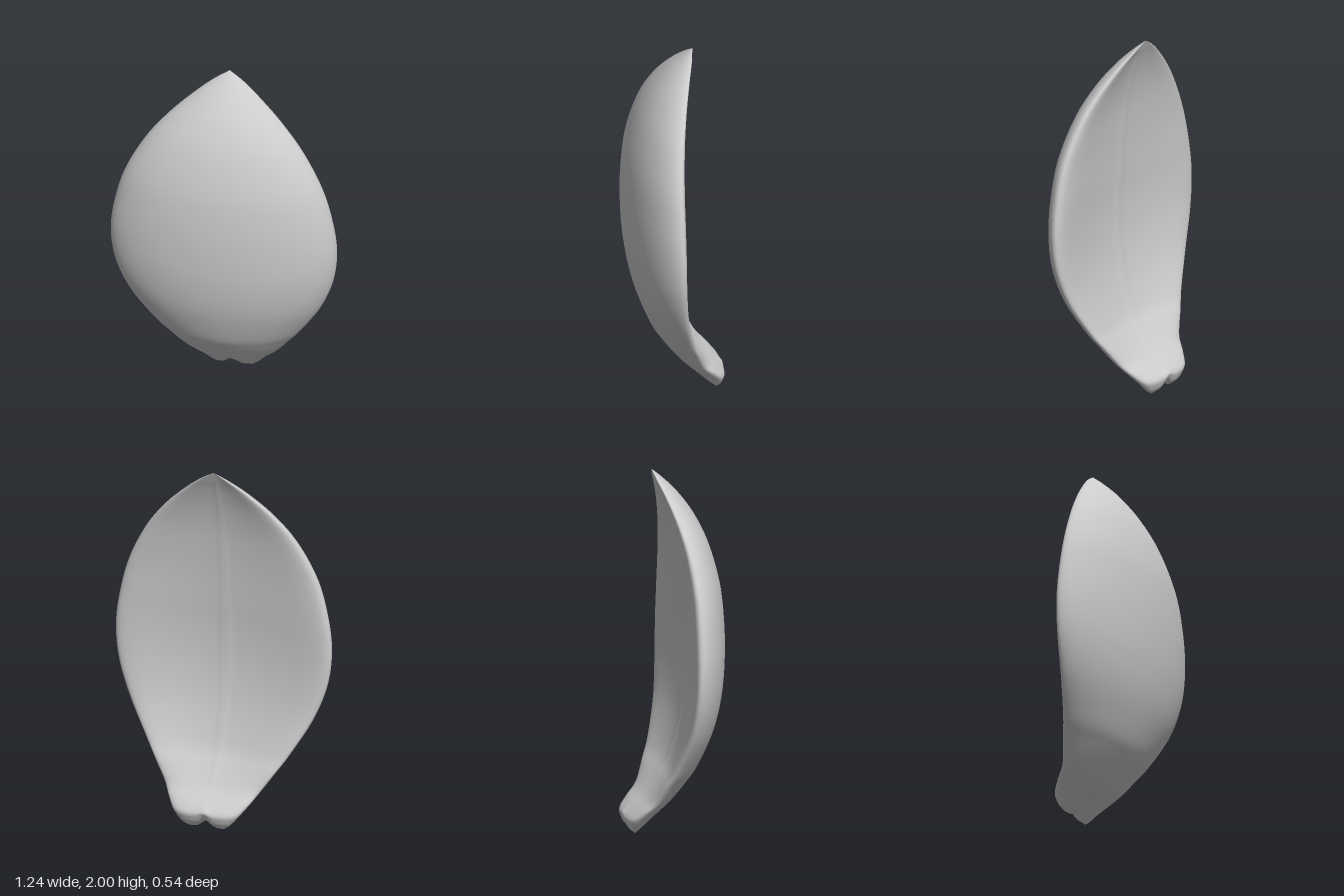
import * as THREE from 'three';

// Sections from base to tip: height, half width, front z, back rim z, inner centre z
const SECTIONS = [
  [0, 0.1, -0.215, -0.215, -0.215],
  [0.02, 0.132, -0.175, -0.245, -0.243],
  [0.05, 0.162, -0.14, -0.263, -0.261],
  [0.09, 0.195, -0.098, -0.268, -0.266],
  [0.14, 0.233, -0.05, -0.225, -0.22],
  [0.2, 0.274, 0.003, -0.16, -0.15],
  [0.3, 0.343, 0.08, -0.1, -0.072],
  [0.4, 0.41, 0.14, -0.055, -0.012],
  [0.6, 0.526, 0.215, -0.002, 0.045],
  [0.8, 0.6, 0.255, 0.02, 0.073],
  [1.0, 0.622, 0.27, 0.027, 0.078],
  [1.2, 0.597, 0.268, 0.03, 0.066],
  [1.4, 0.54, 0.247, 0.028, 0.05],
  [1.6, 0.435, 0.193, 0.01, 0.025],
  [1.75, 0.315, 0.122, -0.02, -0.008],
  [1.87, 0.187, 0.035, -0.057, -0.048],
  [1.95, 0.083, -0.045, -0.088, -0.083],
  [2.0, 0, -0.105, -0.105, -0.105],
];
const ROWS = 120, RING = 128;

function petalGeometry() {
  // One spline of (height, value) per measure, all sharing the same parameter
  const splines = [1, 2, 3, 4].map(
    (k) => new THREE.SplineCurve(SECTIONS.map((s) => new THREE.Vector2(s[0], s[k]))));
  const positions = [], indices = [];

  for (let i = 0; i <= ROWS; i++) {
    const points = splines.map((s) => s.getPoint(i / ROWS));
    const [w, front, back, inner] = points.map((p) => p.y);
    const height = Math.max(points[0].x, 0);
    const depth = front - back;
    // The side edge moves towards mid-depth where the base turns into a rounded stub
    const stub = 1 - THREE.MathUtils.smoothstep(height, 0.08, 0.35);
    const edge = back + (0.12 + 0.26 * stub) * depth;
    const notch = 1 - THREE.MathUtils.smoothstep(height, 0, 0.15);

    for (let j = 0; j < RING; j++) {
      const a = (j / RING) * Math.PI * 2;
      const s = Math.abs(Math.sin(a));
      const x = w * Math.cos(a);
      const mid = Math.exp(-((x / 0.035) ** 2));
      let z;
      if (j <= RING / 2) {
        // Convex outer face
        z = edge + (front - edge) * s ** 1.2 - 0.015 * mid * notch * s;
      } else {
        // Shallow inner face with a softly rolled rim and a faint midrib
        z = edge + (inner - edge) * s * s - 0.55 * depth * s * (1 - s)
          - 0.02 * depth * Math.exp(-((x / 0.012) ** 2)) * s * (1 - stub);
      }
      // Notch between the two lobes of the base
      positions.push(x, height + 0.035 * mid * notch, z);
    }
  }

  for (let i = 0; i < ROWS; i++) {
    for (let j = 0; j < RING; j++) {
      const n = (j + 1) % RING;
      const p = i * RING + j, q = i * RING + n;
      indices.push(p, p + RING, q, q, p + RING, q + RING);
    }
  }

  const geometry = new THREE.BufferGeometry();
  geometry.setAttribute('position', new THREE.Float32BufferAttribute(positions, 3));
  geometry.setIndex(indices);
  geometry.computeVertexNormals();
  return geometry;
}

export function createModel() {
  const group = new THREE.Group();
  const material = new THREE.MeshStandardMaterial({ color: 0xcccccc });
  const petal = new THREE.Mesh(petalGeometry(), material);
  petal.name = 'petal';
  group.add(petal);
  return group;
}
